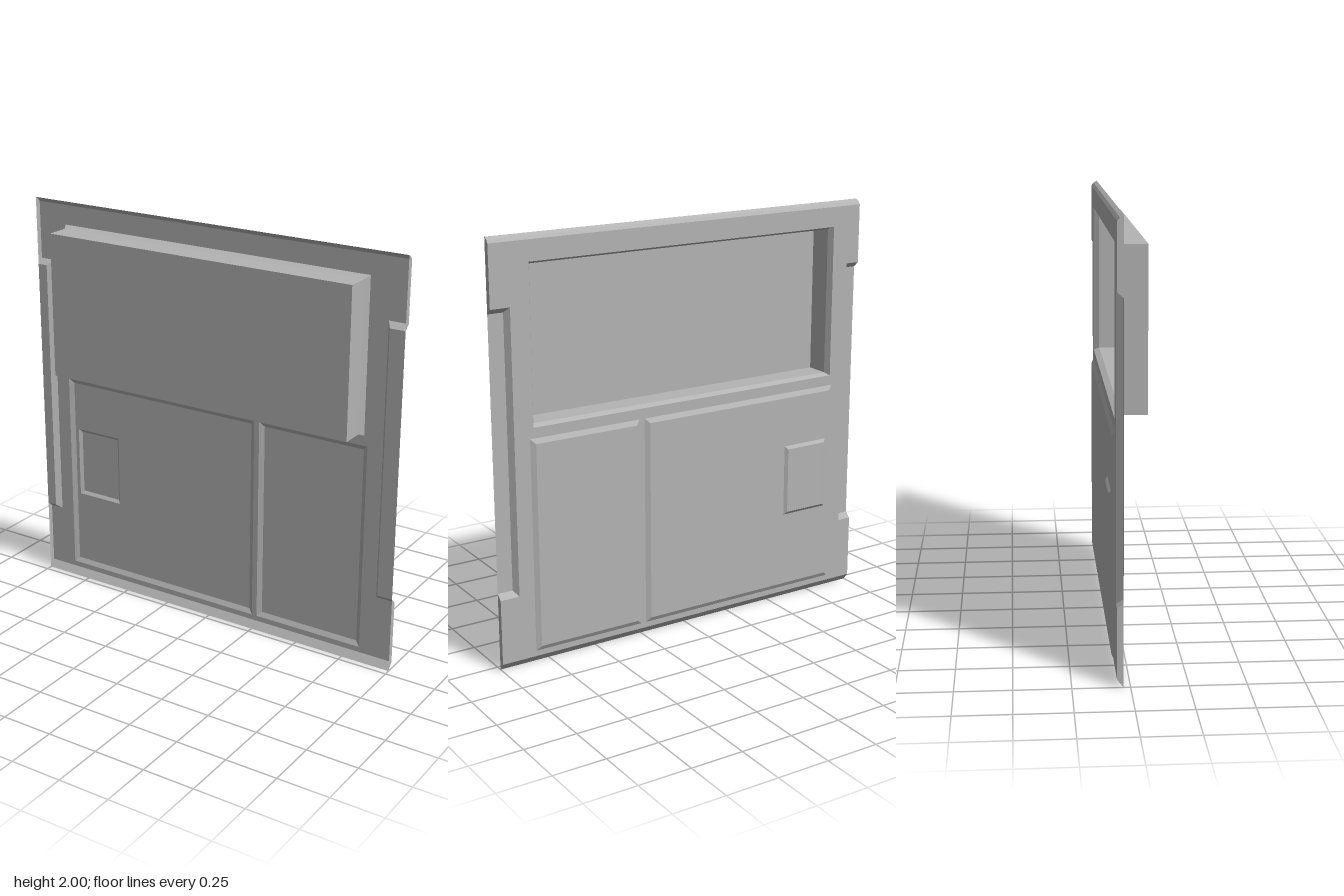
import * as THREE from 'three';

const FRONT = -0.03, SKIN = -0.058, RAISED = -0.071, HATCH = -0.083, BOX = 0.083;

export function createModel() {
  const group = new THREE.Group();
  const metal = new THREE.MeshStandardMaterial({ color: 0xb4b4b4, side: THREE.DoubleSide });
  metal.name = 'grey metal';

  const add = (name, geometry) => {
    const mesh = new THREE.Mesh(geometry, metal);
    mesh.name = name;
    group.add(mesh);
    return mesh;
  };
  // corner loop of a rectangle [x0, x1, y0, y1], shrunk by d
  const rect = ([x0, x1, y0, y1], d = 0) =>
    [[x0 + d, y0 + d], [x1 - d, y0 + d], [x1 - d, y1 - d], [x0 + d, y1 - d]];
  const toVectors = (pts) => pts.map(([x, y]) => new THREE.Vector2(x, y));

  // flat plate at depth z, with optional holes
  const plate = (name, pts, z, holes = []) => {
    const shape = new THREE.Shape(toVectors(pts));
    holes.forEach((h) => shape.holes.push(new THREE.Path(toVectors(h))));
    return add(name, new THREE.ShapeGeometry(shape).translate(0, 0, z));
  };
  // flat-sided band joining outline a at depth za to outline b at depth zb
  const band = (name, a, za, b, zb, closed = true) => {
    const pos = [];
    const count = closed ? a.length : a.length - 1;
    for (let i = 0; i < count; i++) {
      const j = (i + 1) % a.length;
      const p = [...a[i], za], q = [...a[j], za], r = [...b[j], zb], s = [...b[i], zb];
      pos.push(...p, ...q, ...r, ...p, ...r, ...s);
    }
    const g = new THREE.BufferGeometry();
    g.setAttribute('position', new THREE.Float32BufferAttribute(pos, 3));
    g.computeVertexNormals();
    return add(name, g);
  };

  const windowRect = [-0.845, 0.81, 1.135, 1.878];
  const panels = [[-0.857, 0.235, 0.062, 1.085], [0.262, 0.828, 0.062, 1.085]];
  const hatch = [-0.815, -0.565, 0.457, 0.815];

  // main sheet with a notch on each side
  const low = 0.35, high = 1.69, yBottom = 0.035, yTop = 1.975;
  const notchR = 0.905, notchL = -0.93;
  plate('mainSheet', [
    [-1, yBottom], [1, yBottom], [1, low], [notchR, low], [notchR, high], [1, high],
    [1, yTop], [-1, yTop], [-1, high], [notchL, high], [notchL, low], [-1, low],
  ], SKIN, [rect(windowRect), ...panels.map((p) => rect(p))]);

  // turned edges at the top and bottom
  const line = (y) => [[-1, y], [1, y]];
  band('topEdge', line(yTop), SKIN, line(1.99), -0.047, false);
  band('topLip', line(1.99), -0.047, line(2), FRONT, false);
  band('bottomEdge', line(0), FRONT, line(yBottom), SKIN, false);

  // side recesses and the end walls above and below them
  for (const [side, xo, xi] of [[1, notchR, 0.925], [-1, notchL, -0.95]]) {
    const tag = side > 0 ? 'left' : 'right';
    const outer = [[side, low], [xo, low], [xo, high], [side, high]];
    const inner = [[side, low + 0.025], [xi, low + 0.025], [xi, high - 0.025], [side, high - 0.025]];
    band(tag + 'RecessBevel', outer, SKIN, inner, FRONT, false);
    plate(tag + 'Recess', inner, FRONT);
    // walls drawn in (z, y) and turned to face sideways
    const walls = [
      [[FRONT, 0], [FRONT, low + 0.025], [SKIN, low], [SKIN, yBottom]],
      [[FRONT, high - 0.025], [FRONT, 2], [-0.047, 1.99], [SKIN, yTop], [SKIN, high]],
    ];
    walls.forEach((pts, i) => {
      const wall = plate(tag + (i ? 'UpperEndWall' : 'LowerEndWall'), pts.map(([z, y]) => [-z, y]), 0);
      wall.rotation.y = Math.PI / 2;
      wall.position.x = side;
    });
  }

  // window pan: bevelled lip, straight walls and flat bottom
  const pan = rect([-0.83, 0.795, 1.147, 1.865]);
  band('windowLip', rect(windowRect), SKIN, pan, FRONT);
  band('windowWalls', pan, FRONT, pan, BOX);
  plate('windowPanel', pan, BOX);

  // raised lower panels, the first one carrying the hatch
  panels.forEach((p, i) => {
    const name = i ? 'narrowPanel' : 'widePanel';
    band(name + 'Bevel', rect(p), SKIN, rect(p, 0.023), RAISED);
    plate(name, rect(p, 0.023), RAISED, i ? [] : [rect(hatch)]);
  });
  band('hatchBevel', rect(hatch), RAISED, rect(hatch, 0.015), HATCH);
  plate('hatch', rect(hatch, 0.015), HATCH);

  return group;
}
